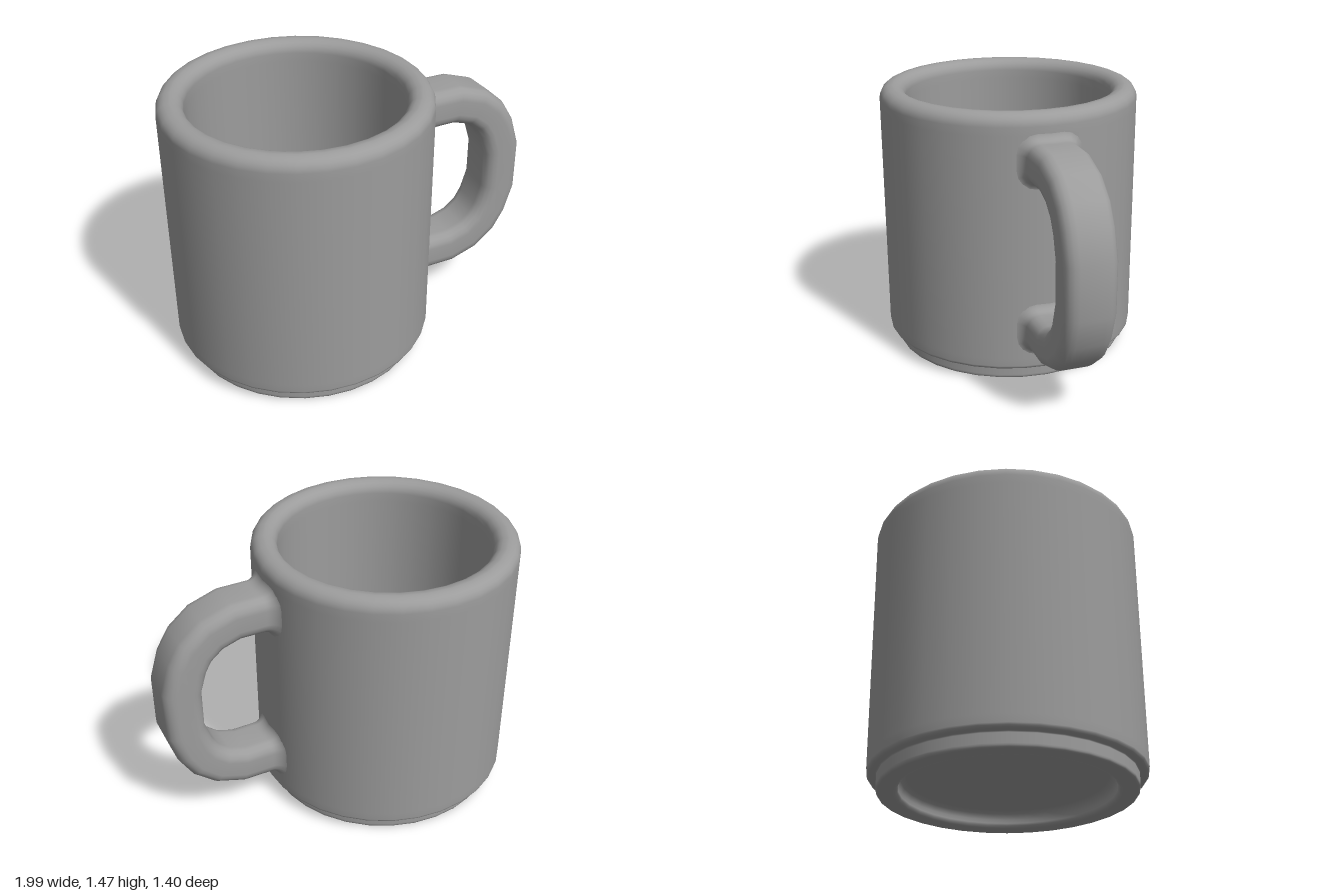
import * as THREE from 'three';

const AXIS_X = -0.302; // centre of the cup
const R = 0.698; // outer radius of the cup
const SIDES = 32;
const MID_Y = 0.766; // mirror height of the handle
const ARM_Y = 1.225; // height of the upper arm of the handle
const material = new THREE.MeshStandardMaterial({ color: 0x9c9c9c });

// Points of a rounded corner, from angle a0 to a1 in degrees
function arc(cx, cy, r, a0, a1, n = 5) {
  return Array.from({ length: n + 1 }, (_, i) => {
    const a = THREE.MathUtils.degToRad(a0 + ((a1 - a0) * i) / n);
    return new THREE.Vector2(cx + r * Math.cos(a), cy + r * Math.sin(a));
  });
}

// Cup with foot ring, hollow underside, wall, rounded rim and inner floor
function cup() {
  const p = (x, y) => new THREE.Vector2(x, y);
  const profile = [
    p(0, 0.088),
    ...arc(0.5, 0.045, 0.04, 90, 0, 2),
    ...arc(0.565, 0.025, 0.025, 180, 270, 3),
    ...arc(0.637, 0.012, 0.012, 270, 360, 2),
    p(0.649, 0.02), p(0.649, 0.07), p(0.649, 0.077), p(0.656, 0.077),
    ...arc(R - 0.02, 0.097, 0.02, 270, 360, 3),
    p(R, 0.14), p(R, 1.36),
    ...arc(R - 0.065, 1.405, 0.065, 0, 90),
    ...arc(0.623, 1.407, 0.063, 90, 180),
    p(0.56, 1.36), p(0.56, 0.28),
    ...arc(0.5, 0.26, 0.06, 0, -90, 3),
    p(0, 0.195),
  ];
  const mesh = new THREE.Mesh(new THREE.LatheGeometry(profile, SIDES, Math.PI / 2), material);
  mesh.name = 'cup';
  mesh.position.x = AXIS_X;
  return mesh;
}

// x of the faceted wall at a given z
function wallX(z) {
  const step = (2 * Math.PI) / SIDES;
  const middle = (Math.floor(Math.asin(Math.abs(z) / R) / step) + 0.5) * step;
  return AXIS_X + (R * Math.cos(step / 2) - Math.abs(z) * Math.sin(middle)) / Math.cos(middle);
}

// Rounded rectangle, grown outward by e; x is thickness, y is width
function section(e) {
  const r = 0.065;
  const points = [];
  [[1, 1], [-1, 1], [-1, -1], [1, -1]].forEach(([sx, sy], k) => {
    points.push(...arc(sx * (0.105 - r), sy * (0.135 - r), r + e, k * 90, k * 90 + 90, 4));
    // Middle of the flat inner and outer sides
    if (k % 2) points.push(new THREE.Vector2(k === 1 ? -0.105 - e : 0.105 + e, 0));
  });
  // Order around the section, since the middles sit between corners
  return points.sort((a, b) => Math.atan2(a.y, a.x) - Math.atan2(b.y, b.x));
}

// Handle: fillets hugging the wall at both ends, joined by a swept bow
function handle() {
  const fillet = 0.055;
  const ends = Array.from({ length: 7 }, (_, i) => {
    const a = (i / 6) * (Math.PI / 2);
    return { d: fillet * (1 - Math.cos(a)) - 0.003, e: fillet * (1 - Math.sin(a)) };
  });

  const half = [[0.46, ARM_Y], [0.585, ARM_Y], [0.71, 1.183], [0.797, 1.11], [0.848, 1.024], [0.89, 0.888]];
  const mirrored = half.map(([x, y]) => [x, 2 * MID_Y - y]).reverse();
  const path = [...half, ...mirrored].map(([x, y]) => new THREE.Vector3(x, y, 0));
  const curve = new THREE.CatmullRomCurve3(path, false, 'centripetal');

  // The end rings follow the wall, so x depends on z
  const wallRing = ({ d, e }, y, s) => section(e).map(
    (q) => new THREE.Vector3(wallX(q.y) + d, y + s * q.x, q.y));
  const rings = ends.map((end) => wallRing(end, ARM_Y, 1));
  path.forEach((c, i) => {
    const t = curve.getTangent(i / (path.length - 1));
    rings.push(section(0).map((q) => new THREE.Vector3(c.x - t.y * q.x, c.y + t.x * q.x, q.y)));
  });
  [...ends].reverse().forEach((end) => rings.push(wallRing(end, 2 * MID_Y - ARM_Y, -1)));

  const n = rings[0].length;
  const index = [];
  for (let i = 0; i < rings.length - 1; i++) {
    for (let j = 0; j < n; j++) {
      const a = i * n + j;
      const b = i * n + ((j + 1) % n);
      index.push(a, b, a + n, b, b + n, a + n);
    }
  }
  const geometry = new THREE.BufferGeometry().setFromPoints(rings.flat());
  geometry.setIndex(index);
  geometry.computeVertexNormals();
  const mesh = new THREE.Mesh(geometry, material);
  mesh.name = 'handle';
  return mesh;
}

export function createModel() {
  const group = new THREE.Group();
  group.name = 'mug';
  group.add(cup(), handle());
  return group;
}
